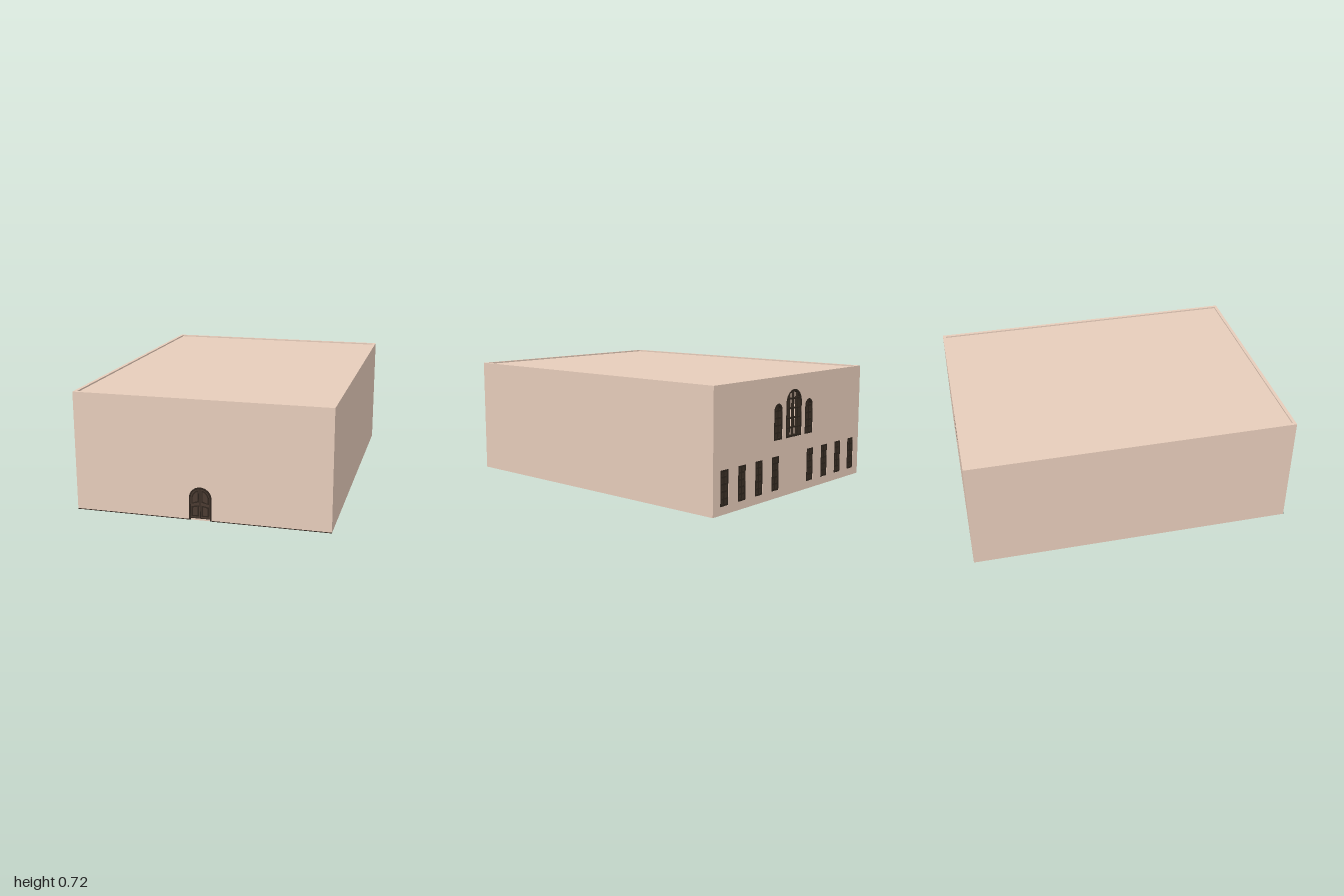
import * as THREE from 'three';

const mat = (name, color) => new THREE.MeshStandardMaterial({ name, color });

// Opening outline: rectangle, or round-headed when arched
function outline(Type, x, y0, y1, w, arched) {
  const p = new Type(), r = w / 2;
  p.moveTo(x - r, y0);
  p.lineTo(x + r, y0);
  if (arched) {
    p.lineTo(x + r, y1 - r);
    p.absarc(x, y1 - r, r, 0, Math.PI, false);
  } else {
    p.lineTo(x + r, y1);
    p.lineTo(x - r, y1);
  }
  p.closePath();
  return p;
}

export function createModel() {
  const model = new THREE.Group();
  const plaster = mat('plaster', 0xe6ccba);
  const floorBrown = mat('floorBrown', 0x5a4a3e);
  const iron = mat('windowFrame', 0x30271f);
  const doorDark = mat('doorFrame', 0x30261f);
  const doorWood = mat('doorWood', 0x4b3b31);

  const W = 1.524, H = 0.717, T = 0.02, BACK = -1, FRONT = 0.995;
  const midZ = (BACK + FRONT) / 2, depth = FRONT - BACK;

  const add = (name, geo, material, x = 0, y = 0, z = 0, parent = model) => {
    const m = new THREE.Mesh(geo, material);
    m.name = name;
    m.position.set(x, y, z);
    parent.add(m);
    return m;
  };
  const box = (name, w, h, d, material, x, y, z, parent) =>
    add(name, new THREE.BoxGeometry(w, h, d), material, x, y, z, parent);
  const extrude = (shape, d) =>
    new THREE.ExtrudeGeometry(shape, { depth: d, bevelEnabled: false, curveSegments: 20 });

  // Openings of the rear wall
  const openings = [];
  for (const s of [-1, 1]) {
    for (const x of [0.183, 0.345, 0.505, 0.663])
      openings.push({ name: 'lowerWindow', x: s * x, y0: 0.047, y1: 0.25, w: 0.07, cols: 2, rows: 5, bar: 0.011 });
    openings.push({ name: 'sideArchWindow', x: s * 0.161, y0: 0.345, y1: 0.56, w: 0.084, arched: true, cols: 2, rows: 5, bar: 0.011 });
  }
  openings.push({ name: 'centreArchWindow', x: 0, y0: 0.345, y1: 0.632, w: 0.164, arched: true, cols: 4, rows: 5, bar: 0.008 });

  // Walls, rising just past the roof
  const rear = outline(THREE.Shape, 0, 0, H, W);
  openings.forEach(o => rear.holes.push(outline(THREE.Path, o.x, o.y0, o.y1, o.w, o.arched)));
  add('rearWall', extrude(rear, T), plaster, 0, 0, BACK);
  box('frontWall', W, H, T, plaster, 0, H / 2, FRONT - T / 2);
  for (const s of [-1, 1])
    box('sideWall', T, H, depth - T * 2, plaster, s * (W - T) / 2, H / 2, midZ);

  // Roof and floor slabs between the walls
  box('roof', W - T * 2, 0.012, depth - T * 2, plaster, 0, H - 0.015, midZ);
  box('floor', W - T * 2, 0.008, depth - T * 2, floorBrown, 0, 0.006, midZ);

  // Thin dark base strip either side of the door
  for (const s of [-1, 1])
    box('baseStrip', W / 2 - 0.068, 0.003, 0.004, doorDark,
      s * (W / 2 + 0.068) / 2, 0.0015, FRONT + 0.002);

  // Windows: outer frame with glazing bars clipped to the arch
  for (const o of openings) {
    const g = new THREE.Group();
    g.name = o.name;
    g.position.set(o.x, 0, BACK + 0.001);
    model.add(g);
    const f = 0.012, r = o.w / 2, spring = o.y1 - r;
    const frame = outline(THREE.Shape, 0, o.y0, o.y1, o.w, o.arched);
    frame.holes.push(outline(THREE.Path, 0, o.y0 + f, o.y1 - f, o.w - f * 2, o.arched));
    add('windowFrame', extrude(frame, 0.02), iron, 0, 0, 0, g);
    for (let i = 1; i < o.cols; i++) {
      const x = -r + o.w * i / o.cols;
      const top = (o.arched ? spring + Math.sqrt(r * r - x * x) : o.y1) - 0.004;
      box('uprightBar', o.bar, top - o.y0, 0.016, iron, x, (top + o.y0) / 2, 0.01, g);
    }
    for (let i = 1; i < o.rows; i++) {
      const y = o.y0 + (o.y1 - o.y0) * i / o.rows;
      const half = o.arched && y > spring ? Math.sqrt(r * r - (y - spring) ** 2) : r;
      box('crossBar', half * 2 - 0.01, o.bar, 0.016, iron, 0, y, 0.01, g);
    }
  }

  // Arched double door, above a pale threshold
  const door = new THREE.Group();
  door.name = 'door';
  door.position.z = FRONT;
  model.add(door);
  const surround = outline(THREE.Shape, 0, 0.012, 0.2, 0.134, true);
  surround.holes.push(outline(THREE.Path, 0, 0.016, 0.19, 0.114, true));
  add('doorFrame', extrude(surround, 0.005), doorDark, 0, 0, 0, door);
  add('doorLeaves', extrude(outline(THREE.Shape, 0, 0.016, 0.19, 0.114, true), 0.002), doorWood, 0, 0, 0, door);
  box('meetingStile', 0.005, 0.172, 0.004, doorDark, 0, 0.103, 0.002, door);
  for (const s of [-1, 1])
    box('framefoot', 0.008, 0.012, 0.005, doorDark, s * 0.063, 0.006, 0.0025, door);

  // Raised panel mouldings: rectangles below, quarter arches above
  const panel = (s, inset, upper) => {
    const a = 0.008 + inset, b = 0.052 - inset, p = new THREE.Shape();
    if (upper) {
      const start = Math.acos(a / b);
      p.moveTo(s * a, 0.11 + inset);
      p.lineTo(s * b, 0.099 + inset);
      for (let i = 0; i <= 10; i++) {
        const t = start * i / 10;
        p.lineTo(s * b * Math.cos(t), 0.133 + b * Math.sin(t));
      }
    } else {
      p.moveTo(s * a, 0.024 + inset);
      p.lineTo(s * b, 0.024 + inset);
      p.lineTo(s * b, 0.084 - inset);
      p.lineTo(s * a, 0.092 - inset);
    }
    p.closePath();
    return p;
  };
  for (const s of [-1, 1])
    for (const upper of [false, true]) {
      add('panelMoulding', extrude(panel(s, 0, upper), 0.0035), doorDark, 0, 0, 0, door);
      add('doorPanel', extrude(panel(s, 0.008, upper), 0.0045), doorWood, 0, 0, 0, door);
    }
  return model;
}
